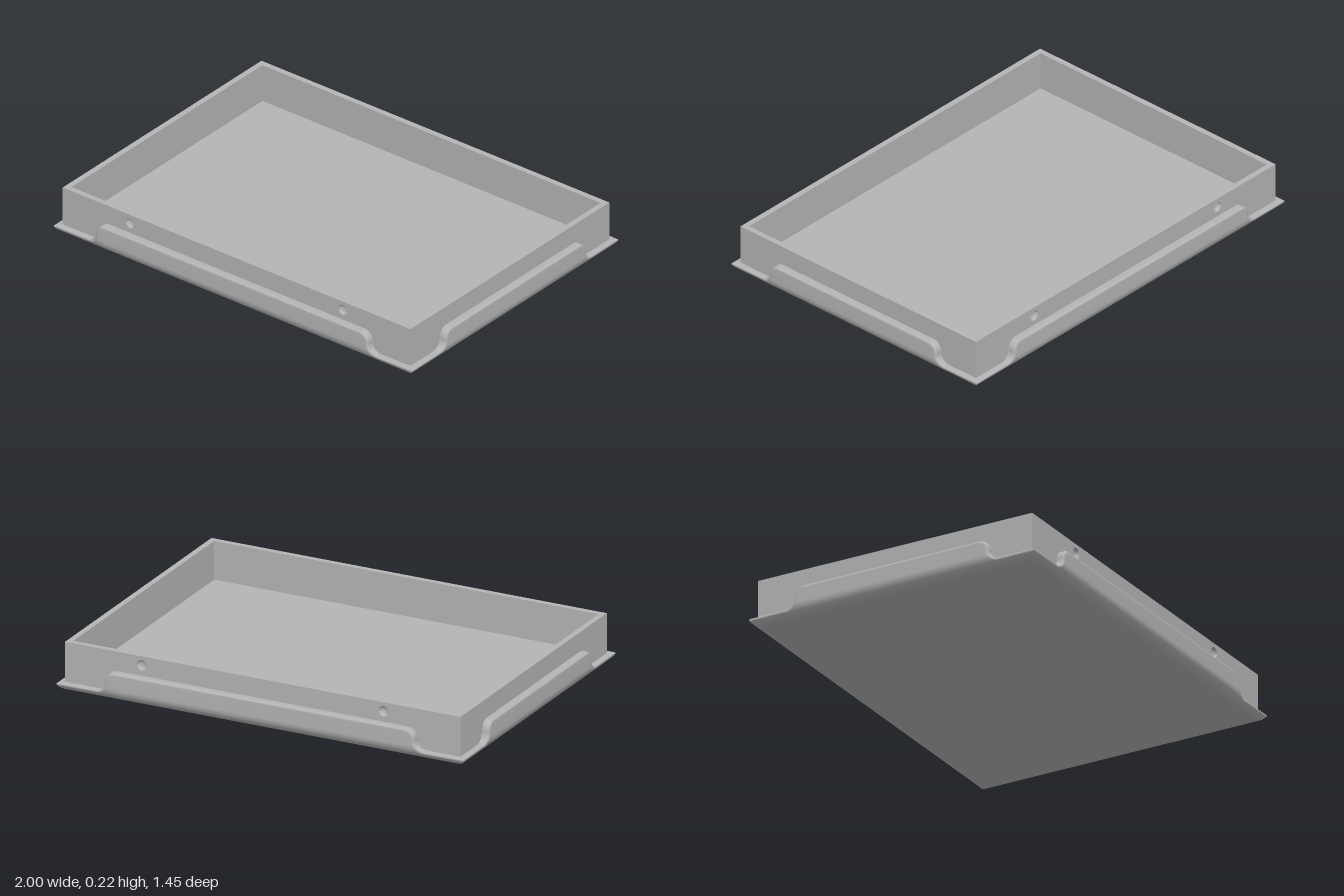
import * as THREE from 'three';

const HX = 0.965, HZ = 0.69;      // half size of the upright wall
const T = 0.035;                  // how far the skirt stands out from the wall
const R = 0.06, r = 0.012;        // bottom rounding, rim rounding
const LIP = 0.04, TAB = 0.135;    // skirt height at the corners and in the middle
const TOP = 0.225, WALL = 0.027, SKIN = 0.018;
const HOLE_X = 0.59, HOLE_Y = 0.183, HOLE_R = 0.024;

// Inset of the rounded bottom edge at height y
const inset = (y) => (y >= R ? 0 : R - Math.sqrt(Math.max(0, R * R - (R - y) ** 2)));

// Skirt outline: low lip, S-curve up to the raised middle, and back down
function outline(half, c) {
  const a = 0.045, left = [{ x: -half, y: LIP, nx: 0, ny: 1 }];
  for (let i = 0; i <= 8; i++) {
    const t = (i / 8) * Math.PI / 2, nx = -Math.sin(t), ny = Math.cos(t);
    left.push({ x: -c - a - nx * a, y: LIP + a - ny * a, nx, ny });
  }
  for (let i = 0; i <= 8; i++) {
    const t = (i / 8) * Math.PI / 2, nx = -Math.cos(t), ny = Math.sin(t);
    left.push({ x: -c + a + nx * a, y: TAB - a + ny * a, nx, ny });
  }
  return [...left, ...left.slice().reverse().map((p) => ({ ...p, x: -p.x, nx: -p.nx }))];
}

// One skirt side, lofted column by column, with mitred ends
function skirtGeometry(half, c, wallDist) {
  const pos = [], index = [], cols = outline(half, c);
  let rows = 0;
  for (const p of cols) {
    const section = [[p.x, p.y, 0]];
    for (let k = 0; k <= 4; k++) {
      const t = (k / 4) * Math.PI / 2, o = r * (1 - Math.cos(t));
      const y = p.y - p.ny * o;
      section.push([p.x - p.nx * o, y, T - r + r * Math.sin(t) - inset(y)]);
    }
    const qx = p.x - p.nx * r, qy = p.y - p.ny * r;
    const t0 = Math.asin(Math.max(0, (R - qy) / R));
    for (let k = 0; k <= 10; k++) {
      const t = t0 + (k / 10) * (Math.PI / 2 - t0);
      section.push([qx, R - R * Math.sin(t), T - R * (1 - Math.cos(t))]);
    }
    rows = section.length;
    for (const [x, y, d] of section) {
      const limit = half - (T - d);
      const end = Math.abs(p.x) === half;
      const cx = end ? Math.sign(p.x) * limit : THREE.MathUtils.clamp(x, -limit, limit);
      pos.push(cx, y, wallDist + d);
    }
  }
  for (let i = 0; i < cols.length - 1; i++) {
    for (let j = 0; j < rows - 1; j++) {
      const a = i * rows + j, b = a + rows;
      index.push(a, a + 1, b, b, a + 1, b + 1);
    }
  }
  const g = new THREE.BufferGeometry();
  g.setAttribute('position', new THREE.Float32BufferAttribute(pos, 3));
  g.setIndex(index);
  g.computeVertexNormals();
  return g;
}

function rect(target, x0, y0, x1, y1) {
  target.moveTo(x0, y0);
  target.lineTo(x1, y0);
  target.lineTo(x1, y1);
  target.lineTo(x0, y1);
  target.closePath();
  return target;
}

export function createModel() {
  const group = new THREE.Group();
  const grey = new THREE.MeshStandardMaterial({ color: 0xb4b4b4, side: THREE.DoubleSide });
  grey.name = 'grey';
  const add = (name, geometry, parent = group) => {
    const mesh = new THREE.Mesh(geometry, grey);
    mesh.name = name;
    parent.add(mesh);
    return mesh;
  };

  // Floor slab, also the flat underside
  const floorH = 0.045;
  add('floor', new THREE.BoxGeometry(2 * (HX + T - R), floorH, 2 * (HZ + T - R)))
    .position.y = floorH / 2;

  // Upright wall frame
  const frame = rect(new THREE.Shape(), -HX, -HZ + SKIN, HX, HZ - SKIN);
  frame.holes.push(rect(new THREE.Path(), -HX + WALL, -HZ + WALL, HX - WALL, HZ - WALL));
  const frameGeo = new THREE.ExtrudeGeometry(frame, { depth: TOP - 0.02, bevelEnabled: false });
  frameGeo.rotateX(-Math.PI / 2).translate(0, 0.02, 0);
  add('wallFrame', frameGeo);

  // Front and back wall faces, each with two round dimples
  const face = rect(new THREE.Shape(), -HX, 0.02, HX, TOP);
  for (const s of [-1, 1]) {
    face.holes.push(new THREE.Path().absarc(s * HOLE_X, HOLE_Y, HOLE_R, 0, Math.PI * 2, true));
  }
  const faceGeo = new THREE.ExtrudeGeometry(face, { depth: SKIN, bevelEnabled: false, curveSegments: 24 });
  const bowl = [];
  for (let i = 0; i <= 8; i++) {
    const t = (i / 8) * Math.PI / 2;
    bowl.push(new THREE.Vector2(HOLE_R * Math.cos(t), -0.016 * Math.sin(t)));
  }
  const bowlGeo = new THREE.LatheGeometry(bowl, 24).rotateX(Math.PI / 2);
  for (const [name, turn] of [['front', 0], ['back', Math.PI]]) {
    const wall = new THREE.Group();
    wall.name = name + 'Wall';
    wall.rotation.y = turn;
    add(name + 'Face', faceGeo, wall).position.z = HZ - SKIN;
    for (const s of [-1, 1]) {
      add(name + 'Dimple', bowlGeo, wall).position.set(s * HOLE_X, HOLE_Y, HZ);
    }
    group.add(wall);
  }

  // Skirt on the four sides
  const longSkirt = skirtGeometry(HX + T, 0.755, HZ);
  const shortSkirt = skirtGeometry(HZ + T, 0.487, HX);
  ['frontSkirt', 'leftSkirt', 'backSkirt', 'rightSkirt'].forEach((name, i) => {
    add(name, i % 2 ? shortSkirt : longSkirt).rotation.y = i * Math.PI / 2;
  });

  return group;
}
